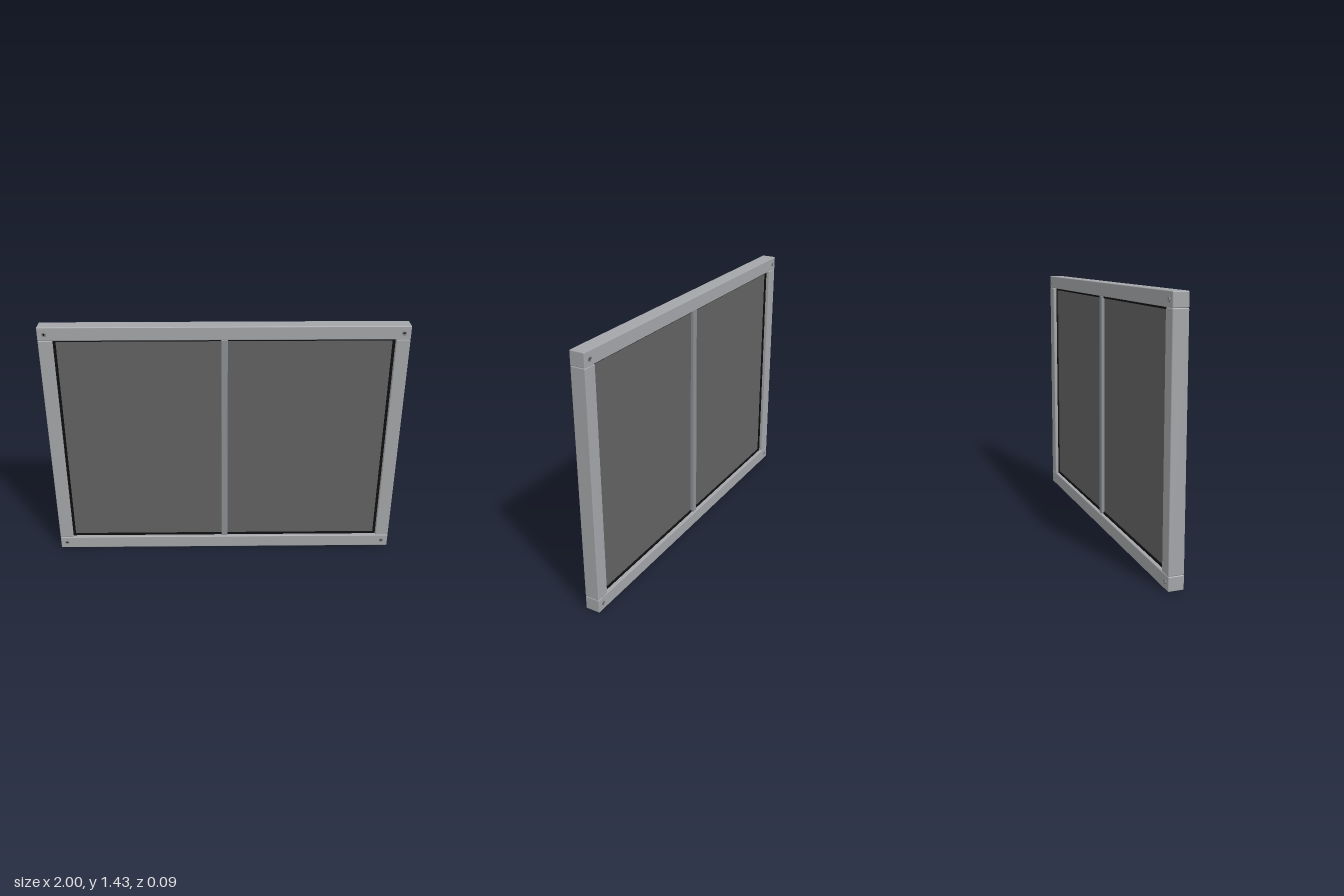
import * as THREE from 'three';
import { RoundedBoxGeometry } from 'three/addons/geometries/RoundedBoxGeometry.js';

const H = 1.43, RAIL = 0.077, DEPTH = 0.084;
const INNER_H = H - 2 * RAIL, MID = H / 2, INNER_X = 1 - RAIL;

const mat = (color) => new THREE.MeshStandardMaterial({ color });

export function createModel() {
  const model = new THREE.Group();
  const metal = mat(0xa3a5a8), barMetal = mat(0x8b8f92);
  const rubber = mat(0x0e0e0e), pane = mat(0x626262), steel = mat(0x77797c);

  const add = (name, geometry, material, x, y, z, parent = model) => {
    const mesh = new THREE.Mesh(geometry, material);
    mesh.name = name;
    mesh.position.set(x, y, z);
    parent.add(mesh);
    return mesh;
  };

  // Outer frame: full-width rails with posts held between them
  const railGeo = new RoundedBoxGeometry(2, RAIL, DEPTH, 2, 0.005);
  add('bottomRail', railGeo, metal, 0, RAIL / 2, 0);
  add('topRail', railGeo, metal, 0, H - RAIL / 2, 0);
  const postGeo = new RoundedBoxGeometry(RAIL, INNER_H, DEPTH, 2, 0.005);
  add('leftPost', postGeo, metal, 1 - RAIL / 2, MID, 0);
  add('rightPost', postGeo, metal, -1 + RAIL / 2, MID, 0);

  // Panel and the black gasket that grips it all round
  add('panel', new THREE.BoxGeometry(2 * INNER_X, INNER_H, 0.03), pane, 0, MID, 0);
  const gasket = new THREE.Shape();
  const rect = (path, w, h) => path.moveTo(-w, -h).lineTo(w, -h).lineTo(w, h).lineTo(-w, h).closePath();
  rect(gasket, INNER_X, INNER_H / 2);
  gasket.holes.push(rect(new THREE.Path(), INNER_X - 0.014, INNER_H / 2 - 0.012));
  const gasketGeo = new THREE.ExtrudeGeometry(gasket, { depth: 0.044, bevelEnabled: false });
  add('gasket', gasketGeo, rubber, 0, MID, -0.022);

  // Upright glazing bar on both faces
  add('centreBar', new RoundedBoxGeometry(0.036, INNER_H, 0.068, 2, 0.004), barMetal, 0, MID, 0);

  // Socket-head screws at the corners, front and back
  const headGeo = new THREE.LatheGeometry([
    [0.006, 0], [0.006, 0.005], [0.010, 0.005], [0.012, 0.003], [0.012, -0.002],
  ].map(([r, h]) => new THREE.Vector2(r, h)).reverse(), 24);
  const socketGeo = new THREE.CircleGeometry(0.0065, 6);
  const headMat = steel.clone();
  headMat.side = THREE.DoubleSide;
  for (const sx of [-1, 1]) for (const y of [0.04, H - 0.04]) for (const sz of [-1, 1]) {
    const screw = new THREE.Group();
    screw.name = 'cornerScrew';
    add('screwHead', headGeo, headMat, 0, 0, 0, screw).rotation.x = Math.PI / 2;
    add('screwSocket', socketGeo, rubber, 0, 0, 0.001, screw);
    screw.position.set(sx * 0.962, y, sz * DEPTH / 2);
    if (sz < 0) screw.rotation.y = Math.PI;
    model.add(screw);
  }
  return model;
}
